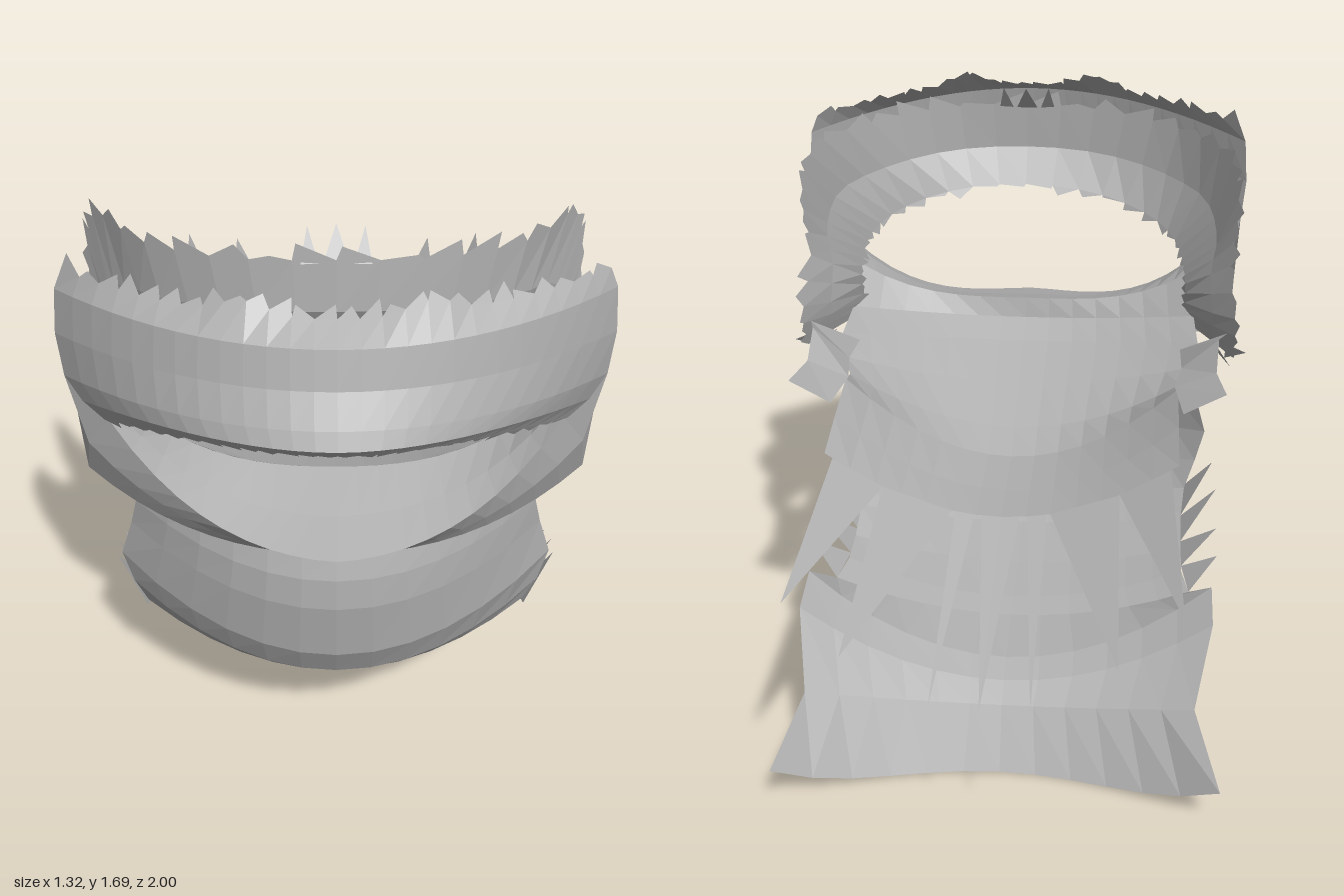
import * as THREE from 'three';

const grey = new THREE.MeshStandardMaterial({ color: 0xb0b0b0, flatShading: true, side: THREE.DoubleSide });
grey.name = 'plain grey';

let seed = 7;
const rand = () => (seed = (seed * 16807) % 2147483647) / 2147483647;
const V = (x, y, z) => new THREE.Vector3(x, y, z);
const flip = (p) => V(-p.x, p.y, p.z);

function trianglesMesh(name, points) {
  const g = new THREE.BufferGeometry().setFromPoints(points);
  g.computeVertexNormals();
  const m = new THREE.Mesh(g, grey);
  m.name = name;
  return m;
}

// Skin between rows of points
function skin(name, rows) {
  const pts = [];
  for (let r = 0; r + 1 < rows.length; r++) {
    for (let i = 0; i + 1 < rows[r].length; i++) {
      const [a, b, c, d] = [rows[r][i], rows[r][i + 1], rows[r + 1][i + 1], rows[r + 1][i]];
      pts.push(a, d, b, b, d, c);
    }
  }
  return trianglesMesh(name, pts);
}

// Row from its middle (yc, zc) to both ends (x, ye, ze); py and pz bend it
function bow([yc, zc, x, ye, ze, py = 2, pz = 2], n = 20) {
  return Array.from({ length: n + 1 }, (_, i) => {
    const s = (2 * i) / n - 1, a = Math.abs(s);
    return V(x * s, yc + (ye - yc) * a ** py, zc + (ze - zc) * a ** pz);
  });
}

// Mirrored smooth row through the points of one half, starting at the middle
function arch(half, n = 18) {
  const p = half.map((q) => V(...q));
  return new THREE.CatmullRomCurve3([...p.slice(1).reverse().map(flip), ...p]).getPoints(2 * n);
}

// Torn edge: small triangles pointing away from the inner row
function tornEdge(name, edge, inner, size) {
  const pts = [];
  for (let i = 0; i + 1 < edge.length; i++) {
    const a = edge[i], b = edge[i + 1];
    const out = a.clone().sub(inner[i]).normalize();
    const tip = a.clone().lerp(b, rand()).addScaledVector(out, size * (0.2 + 0.8 * rand()));
    pts.push(a, tip, b);
  }
  return trianglesMesh(name, pts);
}

// Triangles given for the +x side, repeated on the other side
function mirrored(name, tris) {
  const pts = [];
  for (const t of tris) {
    const [a, b, c] = t.map((q) => V(...q));
    pts.push(a, b, c, flip(a), flip(c), flip(b));
  }
  return trianglesMesh(name, pts);
}

export function createModel() {
  const model = new THREE.Group();
  model.name = 'open jaw shell';

  // Lower lip, from the gum over the rim to the crease above the chin
  model.add(skin('lowerLip', [
    [1.03, 0.58, 0.50, 1.16, 0.50, 3, 2],
    [0.99, 0.72, 0.52, 1.19, 0.57, 3, 1.6],
    [0.96, 0.85, 0.54, 1.20, 0.61, 3, 1.5],
    [0.92, 0.78, 0.60, 1.10, 0.57, 3, 1.7],
    [0.89, 0.745, 0.62, 0.97, 0.50, 3, 2],
  ].map((r) => bow(r))));

  // Chin, underside and flared end of the neck
  model.add(skin('chinAndNeck', [
    [0.89, 0.745, 0.50, 0.95, 0.50],
    [0.82, 0.765, 0.51, 0.86, 0.50],
    [0.73, 0.77, 0.53, 0.77, 0.48],
    [0.55, 0.745, 0.565, 0.65, 0.46],
    [0.44, 0.69, 0.54, 0.55, 0.46],
    [0.36, 0.61, 0.51, 0.46, 0.44],
    [0.31, 0.45, 0.50, 0.41, 0.34],
    [0.28, 0.25, 0.50, 0.37, 0.22],
    [0.26, 0.08, 0.50, 0.36, 0.10],
    [0.245, 0.0, 0.52, 0.35, 0.0],
    [0.23, -0.2, 0.58, 0.43, -0.10],
    [0.205, -0.28, 0.58, 0.40, -0.25],
    [0.17, -0.35, 0.53, 0.27, -0.47],
    [0.0, -0.43, 0.60, 0.13, -0.64, 4, 2],
  ].map((r) => bow(r, 12))));

  // Points along both sides of the neck
  const roots = [[0.51, 0.46, 0.46], [0.5, 0.41, 0.35], [0.5, 0.37, 0.26], [0.5, 0.36, 0.13], [0.52, 0.35, 0.0]];
  const tips = [[0.59, 0.58, 0.39], [0.6, 0.54, 0.29], [0.6, 0.47, 0.17], [0.6, 0.44, 0.06]];
  model.add(mirrored('neckSpikes', tips.map((t, i) => [roots[i], t, roots[i + 1]])));

  // Upper lip band
  const lip = [
    [1.64, 0.84, 0.62, 1.60, 0.57],
    [1.60, 0.91, 0.64, 1.54, 0.57],
    [1.51, 0.935, 0.65, 1.42, 0.57],
    [1.44, 0.98, 0.64, 1.30, 0.57],
    [1.40, 1.0, 0.60, 1.24, 0.59, 2.4],
    [1.375, 0.98, 0.55, 1.2, 0.61, 2.4],
  ].map((r) => bow(r, 26));
  // Two raised places on the top rim beside a shallow dip
  for (const p of lip[0]) p.y += 0.035 * Math.exp(-(((Math.abs(p.x) - 0.2) / 0.07) ** 2)) - 0.01;
  model.add(skin('upperLip', lip));
  model.add(tornEdge('upperLipTopEdge', lip[0], lip[1], 0.05));
  model.add(tornEdge('upperLipLowerEdge', lip[5], lip[4], 0.025));

  // Mouth corners joining the two lips
  model.add(mirrored('mouthCorner', [
    [[0.54, 1.2, 0.61], [0.60, 1.1, 0.57], [0.64, 1.3, 0.57]],
    [[0.64, 1.3, 0.57], [0.60, 1.1, 0.57], [0.63, 1.18, 0.52]],
    [[0.60, 1.1, 0.57], [0.62, 0.97, 0.50], [0.63, 1.18, 0.52]],
  ]));

  // Inner arch behind the upper lip, with legs going down into the cheeks
  const inner = [
    arch([[0, 1.63, 0.60], [0.25, 1.62, 0.57], [0.45, 1.6, 0.46], [0.58, 1.57, 0.28],
      [0.61, 1.45, 0.25], [0.60, 1.27, 0.28], [0.62, 1.1, 0.21], [0.62, 0.99, 0.26]]),
    arch([[0, 1.5, 0.61], [0.23, 1.49, 0.58], [0.42, 1.46, 0.48], [0.53, 1.42, 0.36],
      [0.56, 1.33, 0.33], [0.55, 1.22, 0.34], [0.56, 1.08, 0.32], [0.56, 1.0, 0.36]]),
    arch([[0, 1.4, 0.56], [0.2, 1.385, 0.54], [0.36, 1.34, 0.49], [0.44, 1.29, 0.43],
      [0.47, 1.23, 0.41], [0.48, 1.16, 0.41], [0.48, 1.07, 0.45], [0.47, 1.02, 0.49]]),
  ];
  model.add(skin('innerArch', inner));
  model.add(tornEdge('innerArchOuterEdge', inner[0], inner[1], 0.045));
  model.add(tornEdge('innerArchInnerEdge', inner[2], inner[1], 0.03));

  // Small points standing at the middle of the arch
  model.add(mirrored('archSpikes', [
    [[0, 1.62, 0.6], [0, 1.69, 0.54], [0.03, 1.62, 0.6]],
    [[0.04, 1.62, 0.6], [0.065, 1.69, 0.55], [0.08, 1.62, 0.6]],
  ]));

  // Mouth floor, a shallow trough running back from the gum
  model.add(skin('mouthFloor', [
    [1.03, 0.58, 0.50, 1.16, 0.50, 3],
    [0.97, 0.57, 0.51, 1.05, 0.42],
    [0.93, 0.48, 0.52, 1.02, 0.28],
    [0.87, 0.30, 0.50, 0.98, 0.20],
    [0.81, 0.12, 0.47, 0.97, 0.10],
    [0.775, 0.0, 0.46, 1.01, -0.02],
    [0.775, -0.2, 0.46, 0.98, -0.2],
    [0.78, -0.36, 0.46, 0.95, -0.36],
  ].map((r) => bow(r, 14))));

  // Long spikes trailing from the back of the floor: base x range, then tip
  const back = (x) => [x, 0.78 + 0.17 * (x / 0.46) ** 2, -0.36];
  model.add(mirrored('floorSpikes', [
    [0, 0.05, [0, 0.61, -0.98]],
    [0.07, 0.12, [0.12, 0.61, -0.98]],
    [0.13, 0.31, [0.32, 0.755, -1]],
    [0.31, 0.44, [0.47, 0.83, -0.9]],
  ].map(([a, b, tip]) => [back(a), tip, back(b)])));

  // Cheek strips running back from the legs of the arch
  const strip = [
    [[0.47, 1.0, 0.28], [0.60, 1.08, 0.22]],
    [[0.47, 1.02, 0.1], [0.57, 1.11, 0.1]],
    [[0.45, 1.02, -0.03], [0.56, 1.07, -0.04]],
    [[0.47, 1.02, -0.2], [0.58, 1.08, -0.2]],
  ].map((row) => row.map((q) => V(...q)));
  model.add(skin('cheekStripLeft', strip));
  model.add(skin('cheekStripRight', strip.map((row) => row.map(flip).reverse())));

  // Torn points low on the outer cheeks
  model.add(mirrored('cheekSpikes', [
    [[0.60, 1.03, 0.26], [0.66, 1.0, 0.27], [0.60, 0.97, 0.30]],
    [[0.58, 1.0, 0.3], [0.62, 0.94, 0.3], [0.55, 1.0, 0.36]],
  ]));

  return model;
}
